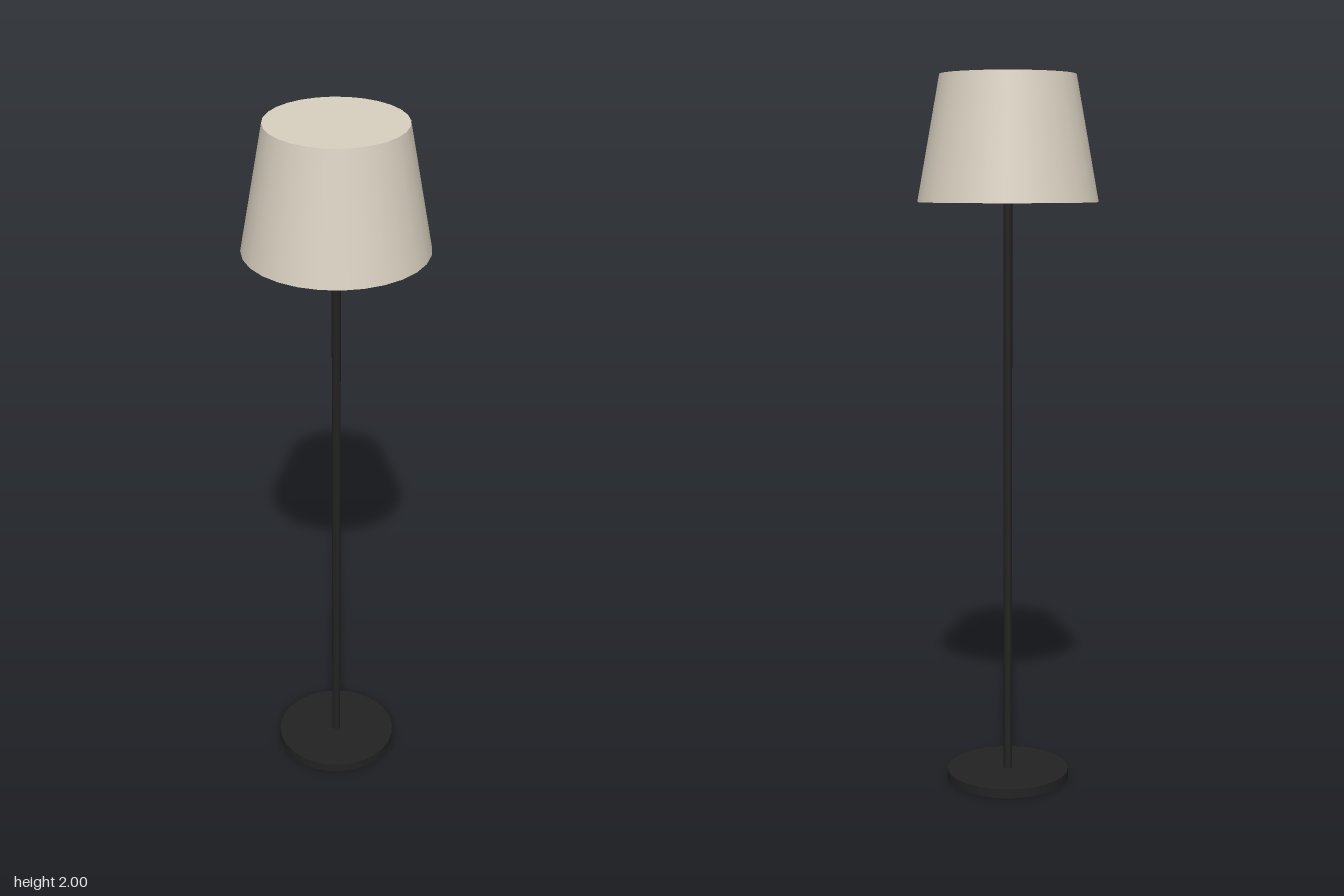
import * as THREE from 'three';

export function createModel() {
  const group = new THREE.Group();
  const black = new THREE.MeshStandardMaterial({ color: 0x222222 });
  black.name = 'blackMetal';
  const cream = new THREE.MeshStandardMaterial({ color: 0xd9d0c0 });
  cream.name = 'creamFabric';

  // Adds a capped round part standing between two heights
  function addRound(name, topRadius, bottomRadius, y0, y1, sides, material) {
    const geometry = new THREE.CylinderGeometry(topRadius, bottomRadius, y1 - y0, sides);
    const mesh = new THREE.Mesh(geometry, material);
    mesh.name = name;
    mesh.position.y = (y0 + y1) / 2;
    group.add(mesh);
  }

  // Round foot, thin pole and tapered closed shade
  addRound('base', 0.175, 0.175, 0, 0.027, 28, black);
  addRound('pole', 0.0125, 0.0125, 0.02, 1.7, 12, black);
  addRound('shade', 0.1875, 0.25, 1.656, 2, 28, cream);

  return group;
}
